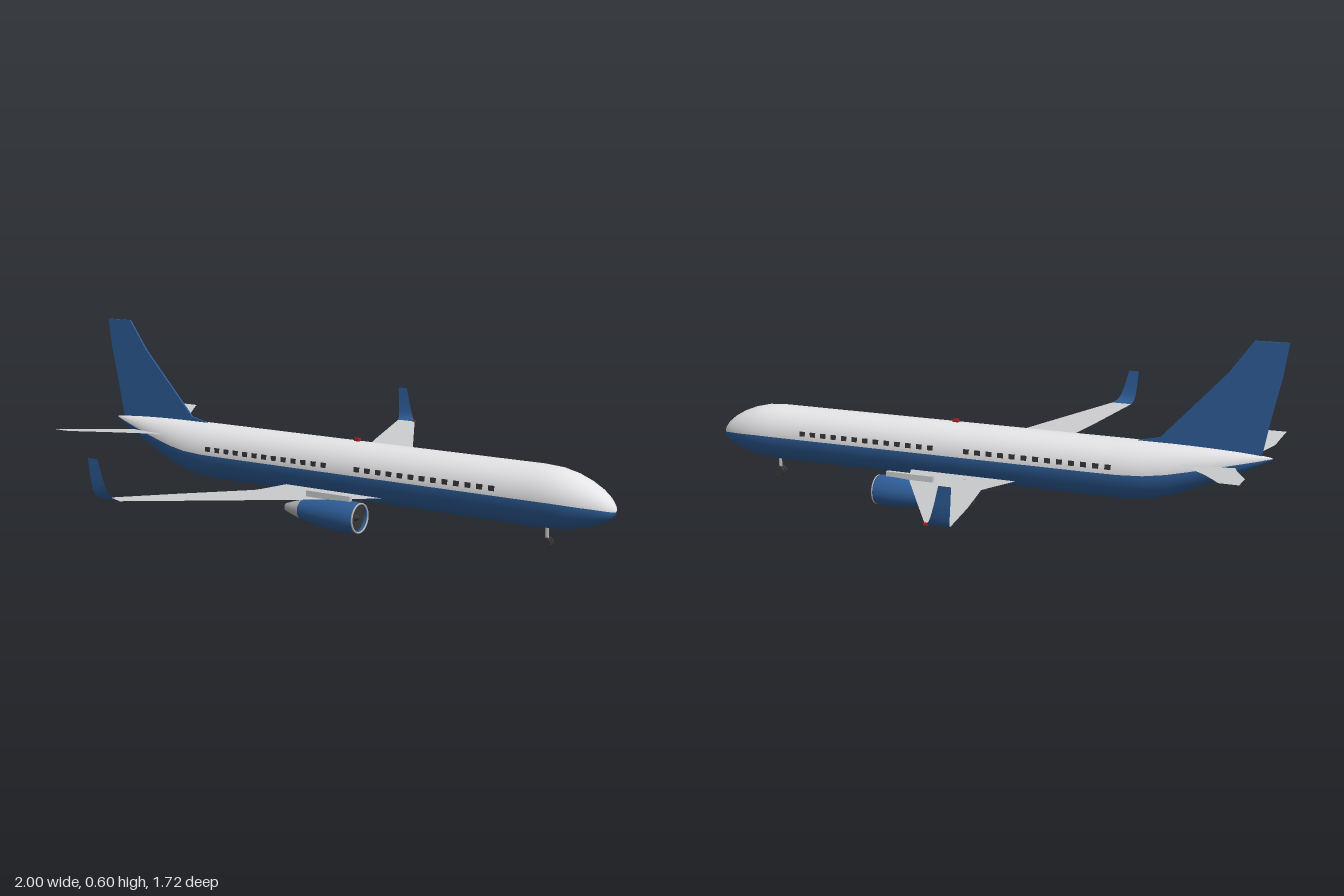
import * as THREE from 'three';

const mat = (name, color, side = THREE.FrontSide) => {
  const m = new THREE.MeshStandardMaterial({ color, side });
  m.name = name;
  return m;
};

export function createModel() {
  const white = mat('white paint', 0xe4e4e6);
  const blue = mat('blue paint', 0x2d5c96, THREE.DoubleSide);
  const grey = mat('wing grey', 0xcbccce, THREE.DoubleSide);
  const metal = mat('bare metal', 0xb4b4b6);
  const dark = mat('dark rubber', 0x37373b);
  const red = mat('red light', 0xb02222);

  const plane = new THREE.Group();
  plane.name = 'airliner';
  const add = (name, geo, material, x = 0, y = 0, z = 0, parent = plane) => {
    const m = new THREE.Mesh(geo, material);
    m.name = name;
    m.position.set(x, y, z);
    parent.add(m);
    return m;
  };
  const box = (w, h, d) => new THREE.BoxGeometry(w, h, d);

  // Fuselage: elliptical rings [x, top, bottom, half width], white above the equator, blue below
  const rings = [
    [-0.965, 0.245, 0.238, 0.002], [-0.92, 0.25, 0.213, 0.016], [-0.86, 0.254, 0.184, 0.032],
    [-0.79, 0.257, 0.152, 0.049], [-0.72, 0.259, 0.12, 0.063], [-0.65, 0.26, 0.092, 0.076],
    [-0.58, 0.26, 0.074, 0.086], [-0.5, 0.26, 0.067, 0.091], [-0.4, 0.26, 0.066, 0.092],
    [0.4, 0.26, 0.066, 0.092], [0.76, 0.26, 0.066, 0.092], [0.82, 0.256, 0.069, 0.089],
    [0.87, 0.244, 0.076, 0.081], [0.915, 0.226, 0.087, 0.068], [0.95, 0.206, 0.1, 0.053],
    [0.975, 0.186, 0.112, 0.038], [0.992, 0.166, 0.124, 0.021], [1, 0.146, 0.138, 0.003],
  ];
  const N = 36;
  const pos = [], idx = [];
  for (const [x, top, bot, w] of rings)
    for (let j = 0; j < N; j++) {
      const a = (j / N) * Math.PI * 2;
      pos.push(x, (top + bot) / 2 + ((top - bot) / 2) * Math.sin(a), w * Math.cos(a));
    }
  const body = new THREE.BufferGeometry();
  for (let half = 0; half < 2; half++) {
    const start = idx.length;
    for (let i = 0; i < rings.length - 1; i++)
      for (let j = (half * N) / 2; j < ((half + 1) * N) / 2; j++) {
        const k = (j + 1) % N, a = i * N, b = a + N;
        idx.push(a + j, b + j, a + k, a + k, b + j, b + k);
      }
    body.addGroup(start, idx.length - start, half);
  }
  body.setAttribute('position', new THREE.Float32BufferAttribute(pos, 3));
  body.setIndex(idx);
  body.computeVertexNormals();
  add('fuselage', body, [white, blue]);

  // Thin surface through spanwise sections [z, y, leading x, trailing x]
  const sheet = (sections, s) => {
    const p = [], f = [];
    sections.forEach(([z, y, lead, trail], i) => {
      p.push(lead, y, z * s, trail, y, z * s);
      if (i) {
        const a = 2 * i - 2;
        if (s > 0) f.push(a, a + 1, a + 2, a + 1, a + 3, a + 2);
        else f.push(a, a + 2, a + 1, a + 1, a + 2, a + 3);
      }
    });
    const g = new THREE.BufferGeometry();
    g.setAttribute('position', new THREE.Float32BufferAttribute(p, 3));
    g.setIndex(f);
    g.computeVertexNormals();
    return g;
  };
  const wing = [[0.04, 0.095, 0.24, -0.15], [0.09, 0.1, 0.22, -0.145], [0.235, 0.116, 0.155, -0.122],
    [0.28, 0.121, 0.13, -0.118], [0.57, 0.152, -0.036, -0.198], [0.832, 0.18, -0.187, -0.262]];
  const winglet = [[0.832, 0.18, -0.187, -0.262], [0.846, 0.19, -0.203, -0.268],
    [0.855, 0.21, -0.215, -0.272], [0.859, 0.25, -0.228, -0.276], [0.862, 0.303, -0.242, -0.28]];
  const stabilizer = [[0.03, 0.209, -0.67, -0.86], [0.075, 0.214, -0.7, -0.873],
    [0.22, 0.231, -0.81, -0.93], [0.31, 0.242, -0.862, -0.937], [0.347, 0.247, -0.88, -0.942]];

  // Engine profiles turned about the x axis, points [radius, x]
  const turned = (pts) => new THREE.LatheGeometry(pts.map(([r, x]) => new THREE.Vector2(r, x)), 32).rotateZ(-Math.PI / 2);
  const nacelle = turned([[0.031, 0.045], [0.039, 0.085], [0.046, 0.14], [0.0495, 0.2], [0.0495, 0.24], [0.047, 0.262]]);
  const exhaust = turned([[0, -0.02], [0.012, -0.018], [0.023, 0.015], [0.031, 0.046]]);
  const lip = new THREE.TorusGeometry(0.0455, 0.003, 8, 32).rotateY(Math.PI / 2);
  const fan = new THREE.CylinderGeometry(0.0465, 0.0465, 0.004, 32).rotateZ(-Math.PI / 2);
  const spinner = new THREE.ConeGeometry(0.012, 0.02, 20).rotateZ(-Math.PI / 2);
  const wheel = (r, w) => new THREE.CylinderGeometry(r, r, w, 24).rotateX(Math.PI / 2);
  const windowPane = box(0.02, 0.016, 0.005);

  for (const s of [1, -1]) {
    const side = s > 0 ? 'right' : 'left';
    add(side + 'Wing', sheet(wing, s), grey);
    add(side + 'Winglet', sheet(winglet, s), blue);
    add(side + 'Stabilizer', sheet(stabilizer, s), grey);

    // Engine hung below the wing
    const engine = new THREE.Group();
    engine.name = side + 'Engine';
    engine.position.set(0, 0.072, 0.244 * s);
    plane.add(engine);
    add('nacelle', nacelle, blue, 0, 0, 0, engine);
    add('exhaustCone', exhaust, metal, 0, 0, 0, engine);
    add('intakeLip', lip, metal, 0.262, 0, 0, engine);
    add('fan', fan, dark, 0.245, 0, 0, engine);
    add('spinner', spinner, dark, 0.255, 0, 0, engine);
    add('pylon', box(0.165, 0.03, 0.014), grey, 0.147, 0.05, 0, engine);

    // Main landing gear
    add(side + 'MainStrut', new THREE.CylinderGeometry(0.007, 0.007, 0.08, 12), metal, 0, 0.066, 0.141 * s);
    add(side + 'MainAxle', wheel(0.006, 0.04), metal, 0, 0.027, 0.141 * s);
    for (const d of [-0.0145, 0.0145])
      add(side + 'MainWheel', wheel(0.027, 0.018), dark, 0, 0.027, 0.141 * s + d);
    add(side + 'GearDoor', box(0.08, 0.032, 0.005), blue, -0.015, 0.08, 0.088 * s);
    add(side + 'NoseWheel', wheel(0.018, 0.01), dark, 0.78, 0.018, 0.008 * s);

    // Cabin windows in two runs
    for (const first of [-0.468, 0.148])
      for (let i = 0; i < 13; i++)
        add(side + 'Window', windowPane, dark, first + i * 0.0405, 0.185, 0.0885 * s);
  }
  add('noseStrut', new THREE.CylinderGeometry(0.006, 0.006, 0.065, 12), metal, 0.78, 0.05, 0);

  // Tail fin
  const finShape = new THREE.Shape([[-0.93, 0.235], [-0.955, 0.365], [-0.985, 0.5], [-1, 0.603], [-0.895, 0.603],
    [-0.82, 0.5], [-0.61, 0.275], [-0.53, 0.258], [-0.6, 0.235]].map(([x, y]) => new THREE.Vector2(x, y)));
  add('tailFin', new THREE.ExtrudeGeometry(finShape, { depth: 0.007, bevelEnabled: false }), blue, 0, 0, -0.0035);

  // Lights
  add('beacon', box(0.02, 0.014, 0.01), red, 0.093, 0.263, 0);
  add('wingTipLight', box(0.012, 0.006, 0.01), red, -0.19, 0.181, -0.832);
  return plane;
}
